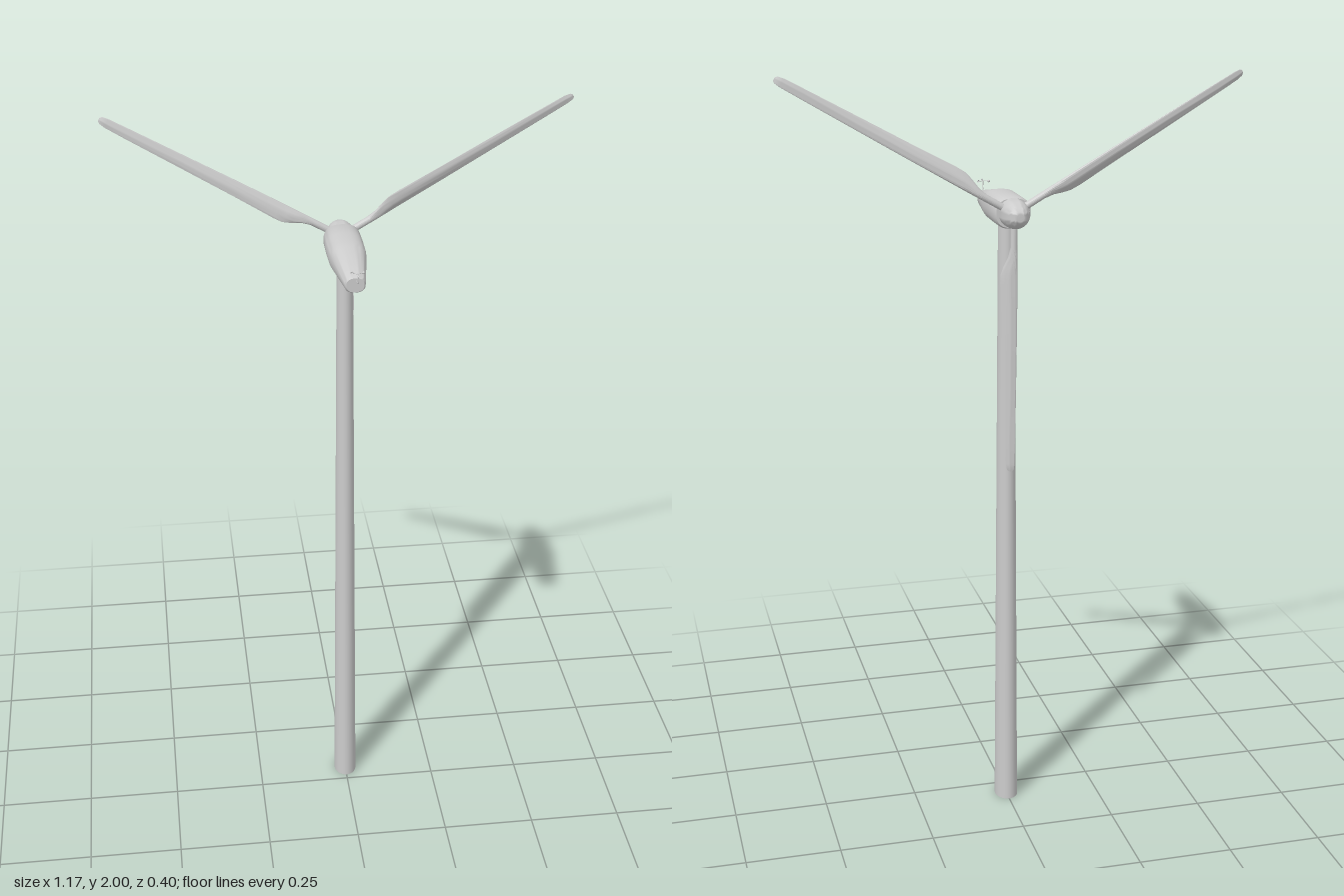
import * as THREE from 'three';
import { toCreasedNormals } from 'three/addons/utils/BufferGeometryUtils.js';

const material = new THREE.MeshStandardMaterial({ color: 0xcccccc });
const HUB_Y = 1.655, HUB_Z = -0.135;

function part(name, geometry, parent) {
  const mesh = new THREE.Mesh(geometry, material);
  mesh.name = name;
  parent.add(mesh);
  return mesh;
}

// Skin a closed, capped body over rings running counterclockwise about the path
function loft(rings) {
  const n = rings[0].length, last = (rings.length - 1) * n;
  const positions = rings.flat().flatMap((p) => p.toArray());
  const index = [];
  for (let i = 0; i < rings.length - 1; i++) {
    for (let j = 0; j < n; j++) {
      const k = (j + 1) % n;
      const a = i * n + j, b = i * n + k, c = b + n, d = a + n;
      index.push(a, b, c, a, c, d);
    }
  }
  for (let j = 1; j < n - 1; j++) {
    index.push(0, j + 1, j, last, last + j, last + j + 1);
  }
  const geometry = new THREE.BufferGeometry();
  geometry.setAttribute('position', new THREE.Float32BufferAttribute(positions, 3));
  geometry.setIndex(index);
  return toCreasedNormals(geometry, 0.7);
}

function ring(count, at) {
  return Array.from({ length: count }, (_, j) => at((j / count) * Math.PI * 2));
}

// Softly squared housing that narrows toward the tail
function nacelleGeometry() {
  // z, centre y, half width, half height
  const sections = [
    [-0.125, 1.654, 0.043, 0.037],
    [-0.118, 1.654, 0.047, 0.04],
    [-0.06, 1.654, 0.048, 0.04],
    [0.0, 1.654, 0.047, 0.04],
    [0.02, 1.653, 0.045, 0.038],
    [0.148, 1.645, 0.026, 0.022],
    [0.155, 1.645, 0.022, 0.018],
  ];
  const soft = (v) => Math.sign(v) * Math.abs(v) ** 0.8;
  return loft(sections.map(([z, y, w, h]) => ring(32, (t) =>
    new THREE.Vector3(w * soft(Math.cos(t)), y + h * soft(Math.sin(t)), z))));
}

// Round root flowing into a twisted, tapering aerofoil; hangs along -y
function bladeGeometry() {
  // radius, leading edge, trailing edge, thickness, twist, aerofoil amount
  const sections = [
    [0.015, -0.009, 0.009, 0.018, 0.42, 0],
    [0.085, -0.009, 0.009, 0.018, 0.42, 0],
    [0.11, -0.009, 0.015, 0.017, 0.42, 0.3],
    [0.135, -0.009, 0.027, 0.016, 0.42, 0.7],
    [0.155, -0.009, 0.034, 0.015, 0.41, 0.8],
    [0.18, -0.009, 0.035, 0.014, 0.39, 0.8],
    [0.3, -0.008, 0.03, 0.011, 0.32, 0.8],
    [0.45, -0.006, 0.026, 0.008, 0.25, 0.8],
    [0.6, -0.004, 0.022, 0.006, 0.2, 0.8],
    [0.655, -0.003, 0.02, 0.005, 0.18, 0.8],
    [0.67, -0.001, 0.017, 0.004, 0.18, 0.8],
    [0.675, 0.003, 0.012, 0.002, 0.18, 0.8],
  ];
  return loft(sections.map(([r, lead, trail, thick, twist, foil]) => ring(20, (t) => {
    const x = (lead + trail) / 2 + ((trail - lead) / 2) * Math.cos(t);
    const z = (thick / 2) * Math.sin(t) * (1 - foil * 0.6 * Math.cos(t));
    const c = Math.cos(twist), s = Math.sin(twist);
    return new THREE.Vector3(x * c - z * s, -r, x * s + z * c);
  })));
}

export function createModel() {
  const model = new THREE.Group();
  model.name = 'windTurbine';

  // Oval tapering tower
  const tower = part('tower', new THREE.CylinderGeometry(0.0205, 0.031, 1.64, 32), model);
  tower.scale.z = 1.29;
  tower.position.set(0, 0.82, -0.056);

  part('nacelle', nacelleGeometry(), model);

  // Rotor: domed spinner and three blades
  const rotor = new THREE.Group();
  rotor.name = 'rotor';
  rotor.position.set(0, HUB_Y, HUB_Z);
  model.add(rotor);
  const profile = [new THREE.Vector2(0, -0.016), new THREE.Vector2(0.037, -0.016)];
  for (let i = 0; i <= 12; i++) {
    const t = (i / 12) * Math.PI / 2;
    profile.push(new THREE.Vector2(0.037 * Math.cos(t), 0.065 * Math.sin(t)));
  }
  const spinner = part('spinner', toCreasedNormals(new THREE.LatheGeometry(profile, 32), 0.7), rotor);
  spinner.rotation.x = -Math.PI / 2;
  const blade = bladeGeometry();
  for (let i = 0; i < 3; i++) {
    part('blade', blade, rotor).rotation.z = (i * Math.PI * 2) / 3;
  }

  // Wind gauge on a bent stalk behind the tail
  const gauge = new THREE.Group();
  gauge.name = 'windGauge';
  gauge.position.set(0.003, 1.685, 0.181);
  model.add(gauge);
  const bend = new THREE.CatmullRomCurve3([
    new THREE.Vector3(0, -0.028, -0.035),
    new THREE.Vector3(0, -0.027, -0.006),
    new THREE.Vector3(0, -0.022, 0),
    new THREE.Vector3(0, 0.001, 0),
  ]);
  part('gaugeStalk', new THREE.TubeGeometry(bend, 16, 0.001, 6), gauge);
  for (let i = 0; i < 3; i++) {
    const arm = new THREE.Group();
    arm.name = 'gaugeArm';
    arm.rotation.y = -Math.PI / 2 + (i * Math.PI * 2) / 3;
    gauge.add(arm);
    const rod = part('rod', new THREE.CylinderGeometry(0.0008, 0.0008, 0.016, 6), arm);
    rod.rotation.z = Math.PI / 2;
    rod.position.x = 0.008;
    const cup = part('cup', new THREE.SphereGeometry(0.0035, 12, 6, 0, Math.PI * 2, 0, Math.PI / 2), arm);
    cup.material = new THREE.MeshStandardMaterial({ color: 0xcccccc, side: THREE.DoubleSide });
    cup.rotation.x = Math.PI / 2;
    cup.position.x = 0.016;
  }

  return model;
}
